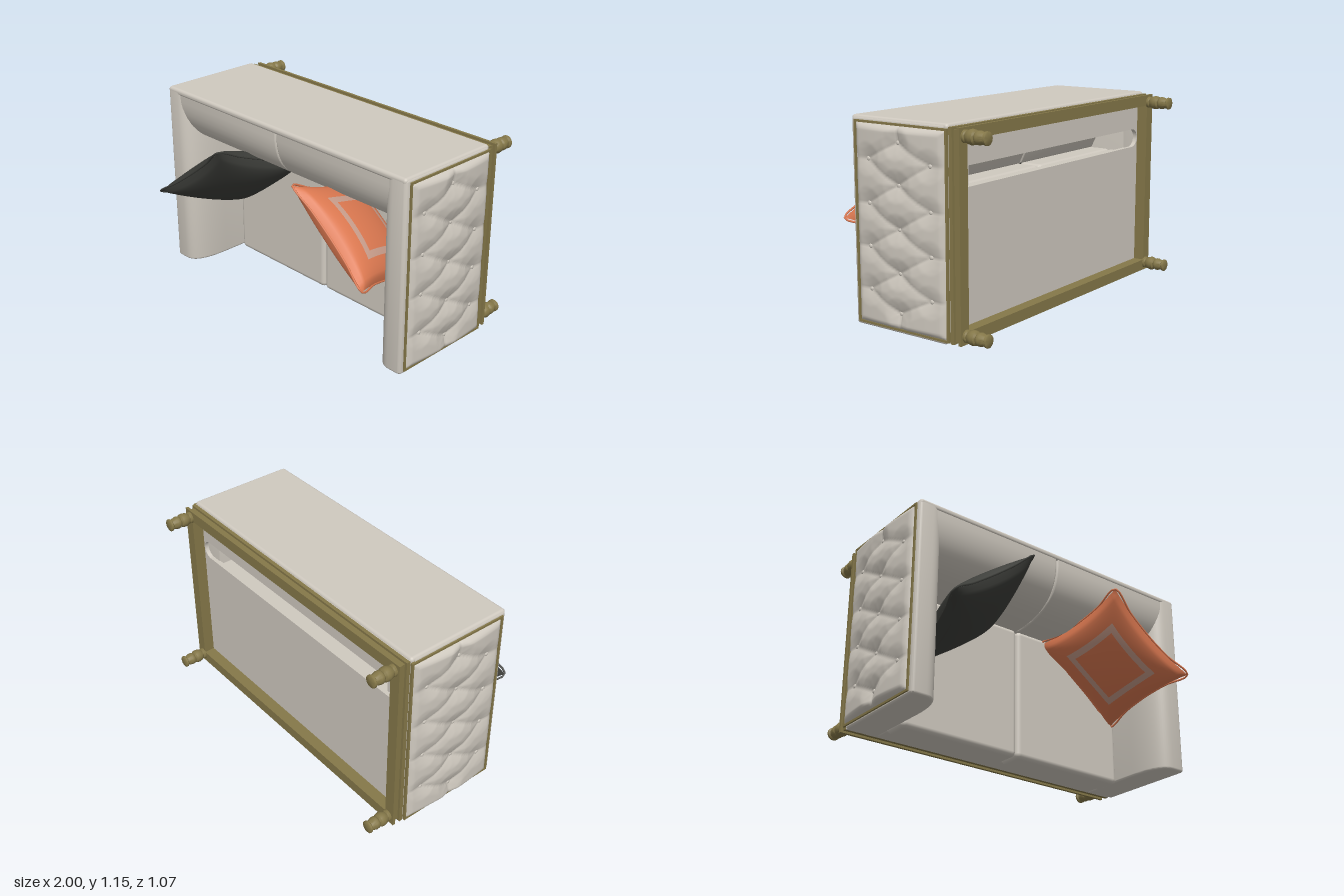
import * as THREE from 'three';
import { toCreasedNormals } from 'three/addons/utils/BufferGeometryUtils.js';
import { RoundedBoxGeometry } from 'three/addons/geometries/RoundedBoxGeometry.js';

const material = (name, color) => Object.assign(new THREE.MeshStandardMaterial({ color }), { name });
const fabric = material('beige fabric', 0xcfc9bf);
const brass = material('aged brass', 0x857849);
const charcoal = material('charcoal cloth', 0x3c3d39);
const orange = material('orange cloth', 0xdb7850);
const print = material('pale print', 0xc79c8a);

const MID_Y = 0.583;
const sat = (v) => Math.min(1, Math.max(0, v));

export function createModel() {
  const model = new THREE.Group();
  model.name = 'sofaOnItsBack';

  const add = (name, geometry, mat, x = 0, y = 0, z = 0, parent = model) => {
    const mesh = new THREE.Mesh(geometry, mat);
    mesh.name = name;
    mesh.position.set(x, y, z);
    parent.add(mesh);
    return mesh;
  };
  // Box given by its low and high corners
  const block = (name, a, b, r, mat) => {
    const s = b.map((v, i) => v - a[i]);
    const g = r ? new RoundedBoxGeometry(...s, 4, r) : new THREE.BoxGeometry(...s);
    return add(name, g, mat, ...a.map((v, i) => v + s[i] / 2));
  };
  // Softly bevelled extrusion starting at 0
  const softExtrude = (shape, length, bevel) => {
    const g = new THREE.ExtrudeGeometry(shape, {
      depth: length - 2 * bevel, bevelSize: bevel, bevelThickness: bevel,
      bevelOffset: -bevel, bevelSegments: 4, curveSegments: 16,
    });
    g.translate(0, 0, bevel);
    return toCreasedNormals(g, 0.7);
  };

  // Backrest: smooth roll in two halves, hollow behind the seat
  const roll = new THREE.Shape();
  roll.moveTo(0.3, 1.14);
  roll.lineTo(0.3, 0.93);
  roll.lineTo(0.12, 0.93);
  roll.lineTo(0.06, 0.81);
  roll.quadraticCurveTo(0.05, 0.795, 0.02, 0.795);
  roll.bezierCurveTo(-0.18, 0.8, -0.325, 0.87, -0.338, 1.08);
  roll.lineTo(-0.338, 1.14);
  roll.closePath();
  for (const s of [-1, 1]) {
    const g = softExtrude(roll, 0.878, 0.012).rotateY(Math.PI / 2);
    add(s > 0 ? 'backrestLeft' : 'backrestRight', g, fabric, s > 0 ? 0.001 : -0.879);
  }
  block('backrestCover', [-0.955, 1.115, -0.312], [0.955, 1.155, 0.343], 0.018, fabric);

  // Arms
  const armShape = (s) => {
    const p = new THREE.Shape();
    p.moveTo(s * 0.958, 0.29);
    p.lineTo(s * 0.958, -0.32);
    p.quadraticCurveTo(s * 0.956, -0.343, s * 0.93, -0.343);
    p.lineTo(s * 0.87, -0.343);
    p.bezierCurveTo(s * 0.79, -0.34, s * 0.765, -0.24, s * 0.765, -0.1);
    p.lineTo(s * 0.765, 0.29);
    p.closePath();
    return p;
  };
  for (const s of [-1, 1]) {
    const g = softExtrude(armShape(s), 1.13, 0.014).rotateX(-Math.PI / 2);
    add(s > 0 ? 'armLeft' : 'armRight', g, fabric, 0, 0.018, 0);
  }

  // Seat base and cushions
  block('seatBase', [-0.77, 0.02, -0.29], [0.77, 0.8, -0.19], 0.015, fabric);
  for (const s of [-1, 1]) {
    const g = new RoundedBoxGeometry(0.768, 0.8, 0.165, 5, 0.03);
    add(s > 0 ? 'seatCushionLeft' : 'seatCushionRight', g, fabric, s * 0.385, 0.405, -0.118);
  }

  // Underside panel with a long rounded slot
  const rectangle = (w, h, P = THREE.Shape) => new P([[-w, -h], [w, -h], [w, h], [-w, h]].map((p) => new THREE.Vector2(...p)));
  const panel = rectangle(0.945, 0.557);
  const slot = new THREE.Path();
  slot.absarc(0.825, 0.29, 0.055, -Math.PI / 2, Math.PI / 2);
  slot.absarc(-0.825, 0.29, 0.055, Math.PI / 2, Math.PI * 1.5);
  panel.holes.push(slot);
  add('undersidePanel', new THREE.ExtrudeGeometry(panel, { depth: 0.03, bevelEnabled: false }), fabric, 0, MID_Y, -0.315);

  // Stepped brass base frame
  for (const [w, h, z, depth] of [[0.95, 0.557, -0.336, 0.022], [0.935, 0.543, -0.366, 0.03], [0.95, 0.557, -0.382, 0.017]]) {
    const ring = rectangle(w, h);
    ring.holes.push(rectangle(0.885, 0.492, THREE.Path));
    add('baseFrame', new THREE.ExtrudeGeometry(ring, { depth, bevelEnabled: false }), brass, 0, MID_Y, z);
  }

  // Turned legs
  const legProfile = [[0, 0], [0.034, 0], [0.034, 0.012], [0.028, 0.018], [0.036, 0.03], [0.041, 0.05], [0.038, 0.068],
    [0.029, 0.076], [0.036, 0.086], [0.037, 0.1], [0.03, 0.122], [0.028, 0.13], [0.036, 0.136], [0.036, 0.146], [0.03, 0.15], [0, 0.15]];
  const legGeometry = toCreasedNormals(
    new THREE.LatheGeometry(legProfile.map((p) => new THREE.Vector2(...p)), 20).rotateX(-Math.PI / 2), 0.6);
  for (const x of [-0.905, 0.905]) for (const y of [0.072, 1.095]) add('leg', legGeometry, brass, x, y, -0.38);

  // Buttoned side panels: buttons, then the seams that join them
  const inner = [0.135, 0.35, 0.583, 0.815, 1.035];
  const outer = [0.235, 0.468, 0.7, 0.935];
  const buttons = inner.map((y) => [0, y]);
  const seams = [[0, 1.035, 0, 1.12], [0, 0.135, 0, 0.04]];
  for (const z of [-0.21, 0.21]) {
    outer.forEach((y, i) => {
      buttons.push([z, y]);
      seams.push([z, y, 0, inner[i]], [z, y, 0, inner[i + 1]], [z, y, z * 1.45, y]);
    });
  }
  const seamDistance = (z, y) => Math.min(...seams.map(([az, ay, bz, by]) => {
    const dz = bz - az, dy = by - ay;
    const t = sat(((z - az) * dz + (y - ay) * dy) / (dz * dz + dy * dy));
    return Math.hypot(z - az - dz * t, y - ay - dy * t);
  }));
  const tuftHeight = (z, y) => {
    const edge = Math.min(0.302 - Math.abs(z), 0.54 - Math.abs(y - MID_Y));
    const dome = 0.45 + 0.55 * (1 - (z / 0.302) ** 2);
    const pit = Math.min(...buttons.map(([bz, by]) => Math.hypot(z - bz, y - by)));
    const puff = 0.2 + 0.35 * Math.sqrt(sat(seamDistance(z, y) / 0.055)) + 0.45 * sat(pit / 0.09);
    return 0.957 + 0.043 * dome * puff * Math.sqrt(sat(edge / 0.03));
  };
  for (const s of [-1, 1]) {
    const side = new THREE.Group();
    side.name = s > 0 ? 'tuftedSideLeft' : 'tuftedSideRight';
    model.add(side);
    const g = new THREE.PlaneGeometry(0.604, 1.08, 64, 112);
    const p = g.attributes.position;
    for (let i = 0; i < p.count; i++) p.setZ(i, tuftHeight(p.getX(i), p.getY(i) + MID_Y));
    g.rotateY(s * Math.PI / 2);
    g.computeVertexNormals();
    add('tufting', g, fabric, 0, MID_Y, 0, side);
    const ball = new THREE.SphereGeometry(0.013, 14, 10).scale(0.6, 1, 1);
    for (const [z, y] of buttons) add('button', ball, fabric, s * (tuftHeight(z, y) + 0.003), y, z, side);
    // Brass trim around the tufting
    for (const e of [-1, 1]) {
      add('trim', new THREE.BoxGeometry(0.014, 1.098, 0.012), brass, s * 0.96, MID_Y, e * 0.308, side);
      add('trim', new THREE.BoxGeometry(0.014, 0.012, 0.628), brass, s * 0.96, MID_Y + e * 0.543, 0, side);
    }
  }

  // Throw pillows: pinched edges, puffed middle, optional printed border
  const N = 32;
  const outline = (a, b) => [0.338 * a * (1 - 0.1 * (1 - b * b)), 0.305 * b * (1 - 0.1 * (1 - a * a))];
  const pillow = (name, s, mat, border) => {
    const group = new THREE.Group();
    group.name = name;
    const g = new THREE.PlaneGeometry(2, 2, N, N);
    const p = g.attributes.position;
    for (let i = 0; i < p.count; i++) {
      const a = p.getX(i), b = p.getY(i);
      p.setXYZ(i, ...outline(a, b), 0.105 * Math.max(0, (1 - a * a) * (1 - b * b)) ** 0.45);
    }
    g.computeVertexNormals();
    for (let c = 0; c < N * N; c++) {
      const a = ((c % N) + 0.5) / N * 2 - 1, b = (Math.floor(c / N) + 0.5) / N * 2 - 1;
      const r = Math.max(Math.abs(a), Math.abs(b));
      g.addGroup(c * 6, 6, border && r > 0.5 && r < 0.61 ? 1 : 0);
    }
    add('pillowFront', g, [mat, print], 0, 0, 0, group);
    add('pillowBack', g, [mat, print], 0, 0, 0, group).rotation.y = Math.PI;
    // Piping along the seam
    const corners = [[-1, -1], [1, -1], [1, 1], [-1, 1]];
    const path = corners.flatMap(([a, b], i) => {
      const [c, d] = corners[(i + 1) % 4];
      return [0, 0.25, 0.5, 0.75].map((t) => new THREE.Vector3(...outline(a + (c - a) * t, b + (d - b) * t), 0));
    });
    add('piping', new THREE.TubeGeometry(new THREE.CatmullRomCurve3(path, true), 96, 0.006, 6, true), mat, 0, 0, 0, group);
    const u = new THREE.Vector3(0.8, -0.6 * s, 0.04 * s).normalize();
    const v = new THREE.Vector3(0.183 * s, 0.3, 0.93).normalize();
    const n = new THREE.Vector3().crossVectors(u, v).normalize();
    v.crossVectors(n, u);
    group.quaternion.setFromRotationMatrix(new THREE.Matrix4().makeBasis(u, v, n));
    group.position.set(0.52 * s, 0.665, 0.225);
    model.add(group);
  };
  pillow('orangePillow', 1, orange, true);
  pillow('charcoalPillow', -1, charcoal, false);

  return model;
}
